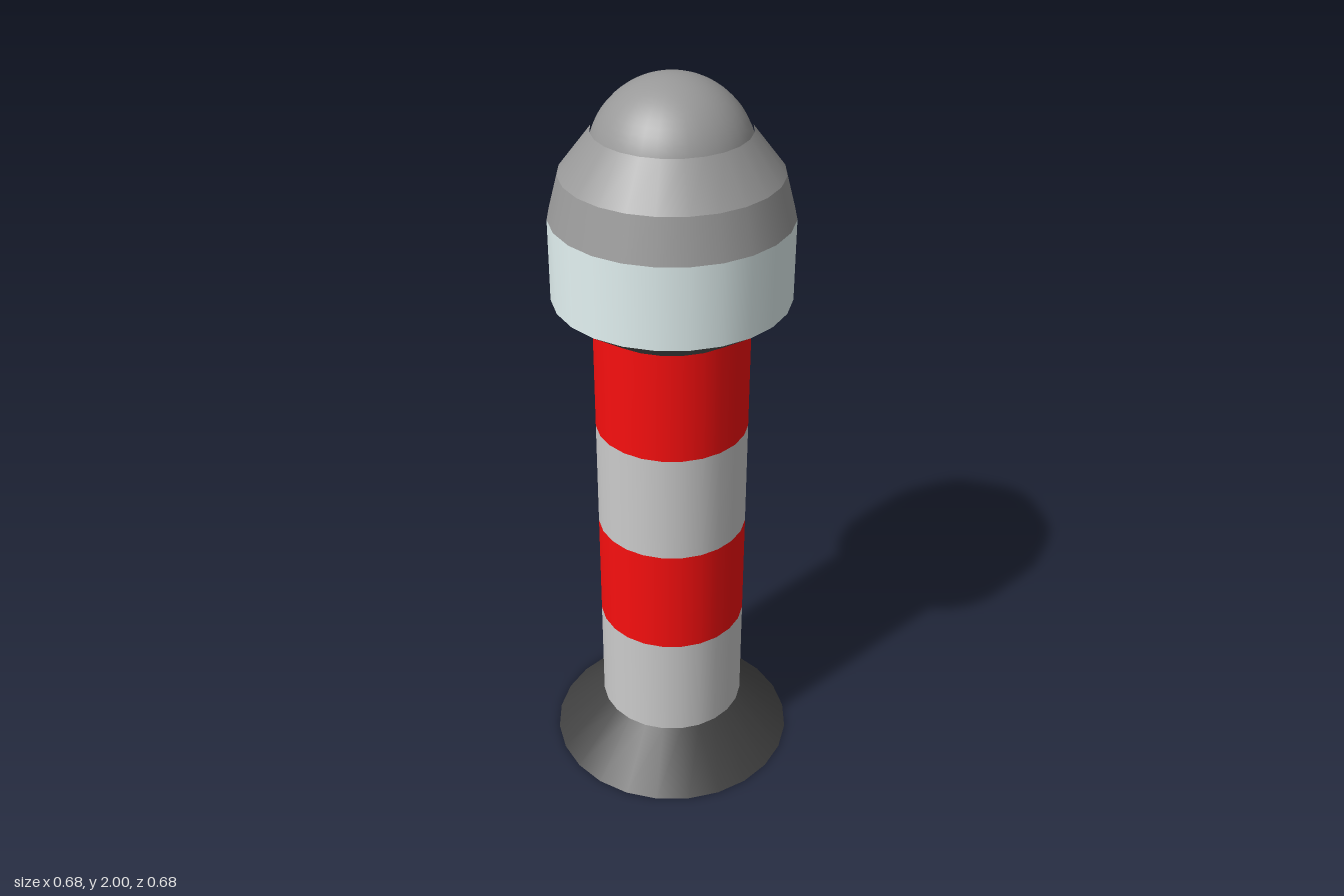
import * as THREE from 'three';

const SIDES = 24;
const TURN = THREE.MathUtils.degToRad(6.7);

export function createModel() {
  const group = new THREE.Group();
  const paint = (color) => new THREE.MeshStandardMaterial({ color });
  const grey = paint(0xcccccc), red = paint(0xf80f0f), dark = paint(0x404040);
  const collarGrey = paint(0x555555), roofGrey = paint(0x999999), glass = paint(0xe3f2f2);

  // One ring of the tower, from height y0 (radius r0) to y1 (radius r1)
  function ring(name, y0, r0, y1, r1, material) {
    const geometry = new THREE.CylinderGeometry(r1, r0, y1 - y0, SIDES, 1, true);
    const mesh = new THREE.Mesh(geometry, material);
    mesh.name = name;
    mesh.position.y = (y0 + y1) / 2;
    mesh.rotation.y = TURN;
    group.add(mesh);
  }

  // Flared foot and its underside
  ring('foot', 0, 0.343, 0.14, 0.203, dark);
  const underside = new THREE.Mesh(new THREE.CircleGeometry(0.343, SIDES).rotateX(Math.PI / 2), grey);
  underside.name = 'footUnderside';
  underside.rotation.y = TURN;
  group.add(underside);

  // Striped shaft
  const bandHeight = 0.3075;
  for (let i = 0; i < 4; i++) {
    const y = 0.14 + i * bandHeight;
    ring(i % 2 ? 'redBand' : 'greyBand', y, 0.203, y + bandHeight, 0.203, i % 2 ? red : grey);
  }

  // Lantern room on its flared collar
  ring('collar', 1.37, 0.203, 1.44, 0.305, collarGrey);
  ring('lantern', 1.44, 0.305, 1.655, 0.305, glass);

  // Stepped roof with a round dome
  ring('roofSkirt', 1.655, 0.305, 1.765, 0.276, roofGrey);
  ring('roofSlope', 1.765, 0.276, 1.87, 0.195, roofGrey);
  const dome = new THREE.Mesh(
    new THREE.SphereGeometry(0.205, 32, 16, 0, Math.PI * 2, 0, Math.PI / 2), roofGrey);
  dome.name = 'dome';
  dome.position.y = 1.795;
  group.add(dome);

  return group;
}
